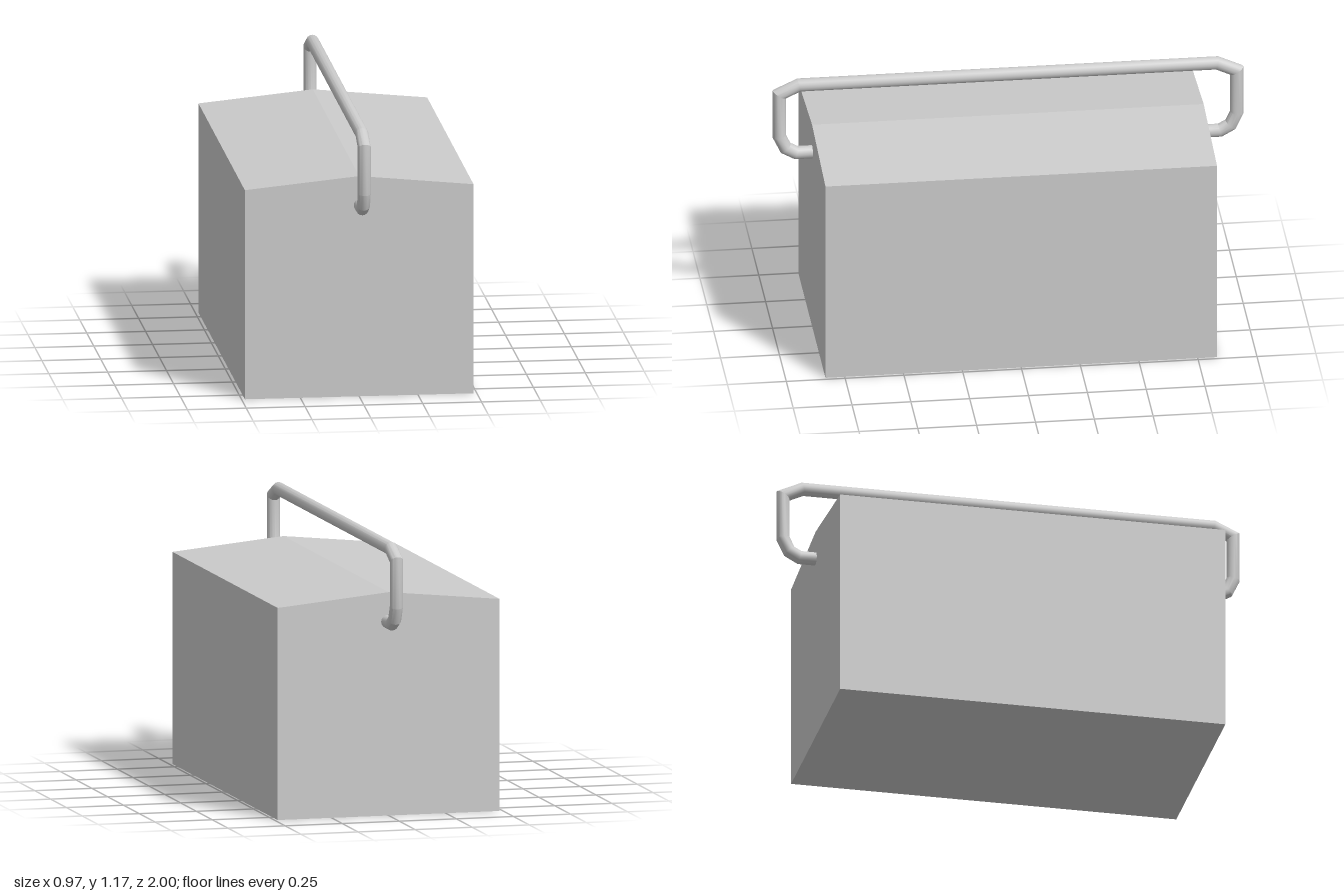
import * as THREE from 'three';
import { toCreasedNormals } from 'three/addons/utils/BufferGeometryUtils.js';

const material = new THREE.MeshStandardMaterial({ color: 0xcccccc });

// Sweeps a round bar with mitred joints along [z, y] points
function mitredBar(path, radius, sides) {
  const pts = path.map(([z, y]) => new THREE.Vector2(z, y));
  const last = pts.length - 1;
  const direction = (a, b) => pts[b].clone().sub(pts[a]).normalize();
  const positions = [], index = [];
  pts.forEach((p, i) => {
    const before = direction(Math.max(i - 1, 0), Math.max(i, 1));
    const after = direction(Math.min(i, last - 1), Math.min(i + 1, last));
    const mid = before.clone().add(after).normalize();
    const stretch = radius / mid.dot(before);
    for (let j = 0; j < sides; j++) {
      const a = (j / sides) * Math.PI * 2;
      const s = Math.sin(a) * stretch;
      positions.push(Math.cos(a) * radius, p.y + mid.x * s, p.x - mid.y * s);
      if (i < last) {
        const k = i * sides + j, n = i * sides + (j + 1) % sides;
        index.push(k, n, k + sides, n, n + sides, k + sides);
      }
    }
  });
  // End caps
  for (let j = 1; j < sides - 1; j++) {
    const e = last * sides;
    index.push(0, j + 1, j, e, e + j, e + j + 1);
  }
  const geometry = new THREE.BufferGeometry();
  geometry.setAttribute('position', new THREE.Float32BufferAttribute(positions, 3));
  geometry.setIndex(index);
  return toCreasedNormals(geometry, 0.45);
}

export function createModel() {
  const model = new THREE.Group();
  model.name = 'toolbox';

  // Box with a shallow ridged lid
  const w = 0.486, depth = 1.664;
  const outline = new THREE.Shape([
    [-w, 0], [w, 0], [w, 0.905], [0, 0.953], [-w, 0.905],
  ].map(([x, y]) => new THREE.Vector2(x, y)));
  const bodyGeometry = new THREE.ExtrudeGeometry(outline, { depth, bevelEnabled: false });
  bodyGeometry.translate(0, 0, -depth / 2);
  const body = new THREE.Mesh(bodyGeometry, material);
  body.name = 'body';
  model.add(body);

  // Long carrying handle, its hooked ends entering the front and back
  const half = [[0.82, 0.828], [0.9, 0.828], [0.945, 0.853], [0.972, 0.91], [0.972, 1.108], [0.888, 1.147]];
  const path = [...half, ...half.map(([z, y]) => [-z, y]).reverse()];
  const handle = new THREE.Mesh(mitredBar(path, 0.028, 16), material);
  handle.name = 'handle';
  handle.position.x = 0.005;
  model.add(handle);

  return model;
}
